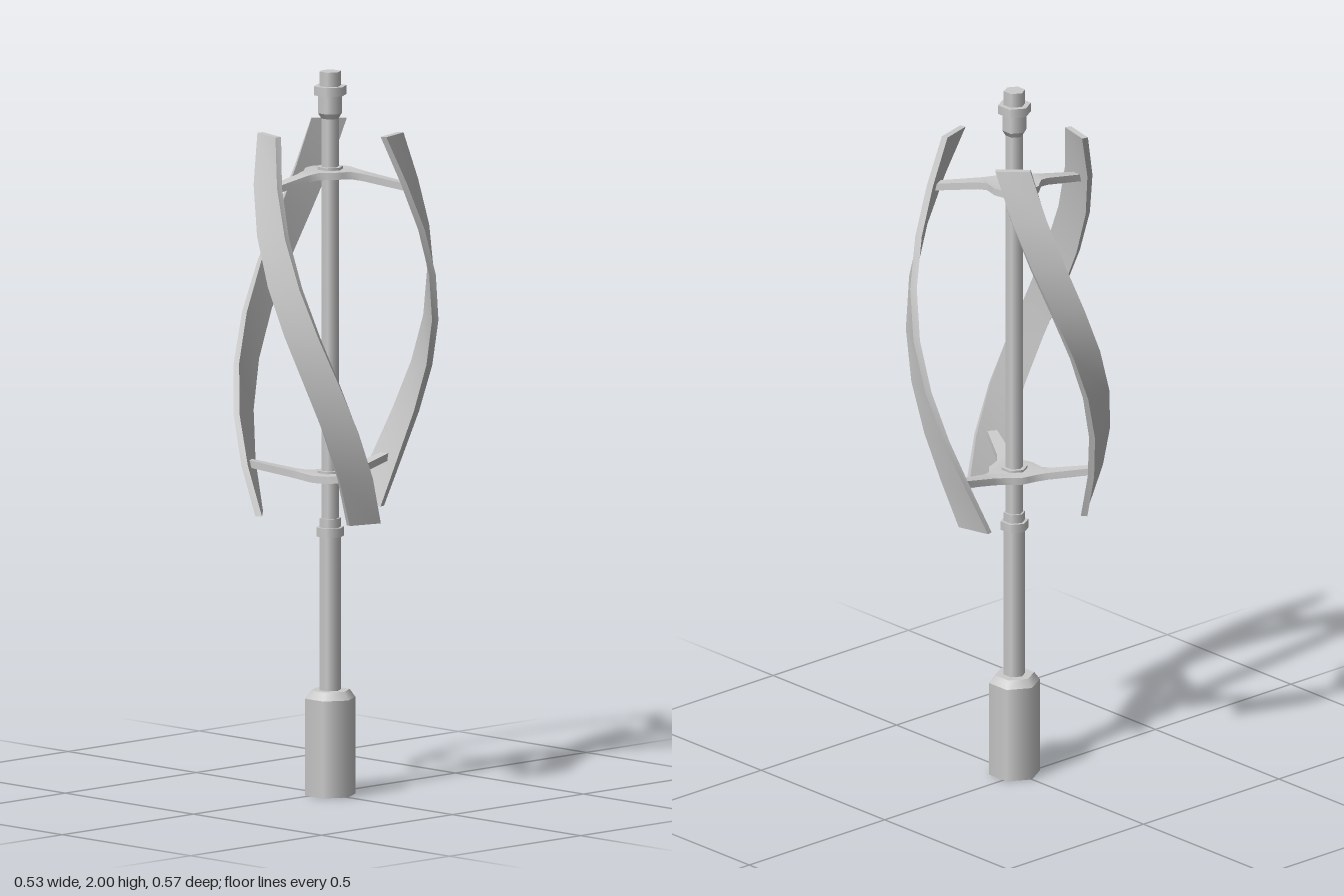
import * as THREE from 'three';
import { toCreasedNormals } from 'three/addons/utils/BufferGeometryUtils.js';

const DEG = Math.PI / 180;
const material = new THREE.MeshStandardMaterial({ color: 0xcccccc });

function addMesh(parent, name, geometry) {
  const mesh = new THREE.Mesh(geometry, material);
  mesh.name = name;
  parent.add(mesh);
  return mesh;
}

// Six-sided column section between two heights, corners on the x axis
function addSection(parent, name, y0, y1, r0, r1 = r0) {
  const geo = new THREE.CylinderGeometry(r1, r0, y1 - y0, 6, 1, false, Math.PI / 2);
  geo.translate(0, (y0 + y1) / 2, 0);
  addMesh(parent, name, geo);
}

// Helical blade: flat rectangular section swept round the axis, bowed at mid height
function bladeGeometry() {
  const steps = 8, halfChord = 0.048, thickness = 0.018;
  const pos = [], index = [];
  for (let i = 0; i <= steps; i++) {
    const t = i / steps;
    const a = (103.5 - 87.5 * t) * DEG;
    const outer = 0.2025 + 0.0905 * Math.sin(Math.PI * t);
    const inner = outer - thickness;
    const y = 1.84 - 1.065 * t;
    for (const [r, w] of [[outer, 1], [outer, -1], [inner, -1], [inner, 1]]) {
      const s = w * halfChord;
      pos.push(r * Math.cos(a) - s * Math.sin(a), y, r * Math.sin(a) + s * Math.cos(a));
    }
    if (i === steps) break;
    for (let j = 0; j < 4; j++) {
      const k = (j + 1) % 4, t0 = i * 4, b0 = t0 + 4;
      index.push(t0 + j, b0 + j, b0 + k, t0 + j, b0 + k, t0 + k);
    }
  }
  const e = steps * 4;
  index.push(0, 1, 2, 0, 2, 3, e, e + 2, e + 1, e, e + 3, e + 2);
  const geo = new THREE.BufferGeometry();
  geo.setAttribute('position', new THREE.Float32BufferAttribute(pos, 3));
  geo.setIndex(index);
  return toCreasedNormals(geo, 0.7);
}

// Three-armed hub plate whose arms tilt by a slope beyond the centre
function spiderGeometry(startAngle, slope) {
  const thick = 0.02;
  const half = [[0.052, 0.046], [0.07, 0.03], [0.1, 0.021], [0.226, 0.0135]];
  const outline = [...half.map(([r, w]) => [r, -w]), ...half.slice().reverse()];
  const points = [];
  for (let i = 0; i < 3; i++) {
    const a = (startAngle + i * 120) * DEG;
    for (const [r, w] of outline) {
      points.push(new THREE.Vector2(r * Math.cos(a) - w * Math.sin(a), r * Math.sin(a) + w * Math.cos(a)));
    }
    const mid = a + 60 * DEG;
    points.push(new THREE.Vector2(0.071 * Math.cos(mid), 0.071 * Math.sin(mid)));
  }
  const geo = new THREE.ExtrudeGeometry(new THREE.Shape(points), { depth: thick, bevelEnabled: false });
  geo.rotateX(Math.PI / 2);
  geo.translate(0, thick / 2, 0);
  const p = geo.attributes.position;
  for (let i = 0; i < p.count; i++) {
    const r = Math.hypot(p.getX(i), p.getZ(i));
    p.setY(i, p.getY(i) + Math.max(0, r - 0.072) * slope);
  }
  return toCreasedNormals(geo, 0.6);
}

export function createModel() {
  const model = new THREE.Group();
  model.name = 'windTurbine';

  // Everything turns about one axis, set slightly off the bounding-box centre
  const turbine = new THREE.Group();
  turbine.name = 'turbine';
  turbine.position.x = 0.0225;
  model.add(turbine);

  // Foot and mast
  addSection(turbine, 'base', 0, 0.268, 0.071);
  addSection(turbine, 'baseShoulder', 0.268, 0.29, 0.071, 0.055);
  addSection(turbine, 'lowerMast', 0.29, 0.765, 0.03);
  addSection(turbine, 'lowerCollar', 0.715, 0.74, 0.039);
  addSection(turbine, 'shaft', 0.765, 1.88, 0.0245);

  // Top fitting
  addSection(turbine, 'topSleeveTaper', 1.87, 1.885, 0.0245, 0.034);
  addSection(turbine, 'topSleeve', 1.885, 1.935, 0.034);
  addSection(turbine, 'topCollar', 1.935, 1.96, 0.046);
  addSection(turbine, 'topCap', 1.96, 2, 0.03);

  // Rotor: two three-armed hubs and three helical blades
  const rotor = new THREE.Group();
  rotor.name = 'rotor';
  turbine.add(rotor);
  const hubs = [['upperSpider', 1.72, 92.5, -0.19], ['lowerSpider', 0.88, 26.5, 0.19]];
  for (const [name, y, angle, slope] of hubs) {
    addMesh(rotor, name, spiderGeometry(angle, slope)).position.y = y;
    addSection(rotor, name + 'Collar', y - 0.017, y + 0.017, 0.036);
  }
  const blade = bladeGeometry();
  for (let i = 0; i < 3; i++) {
    addMesh(rotor, 'blade' + (i + 1), blade).rotation.y = i * 120 * DEG;
  }
  return model;
}
